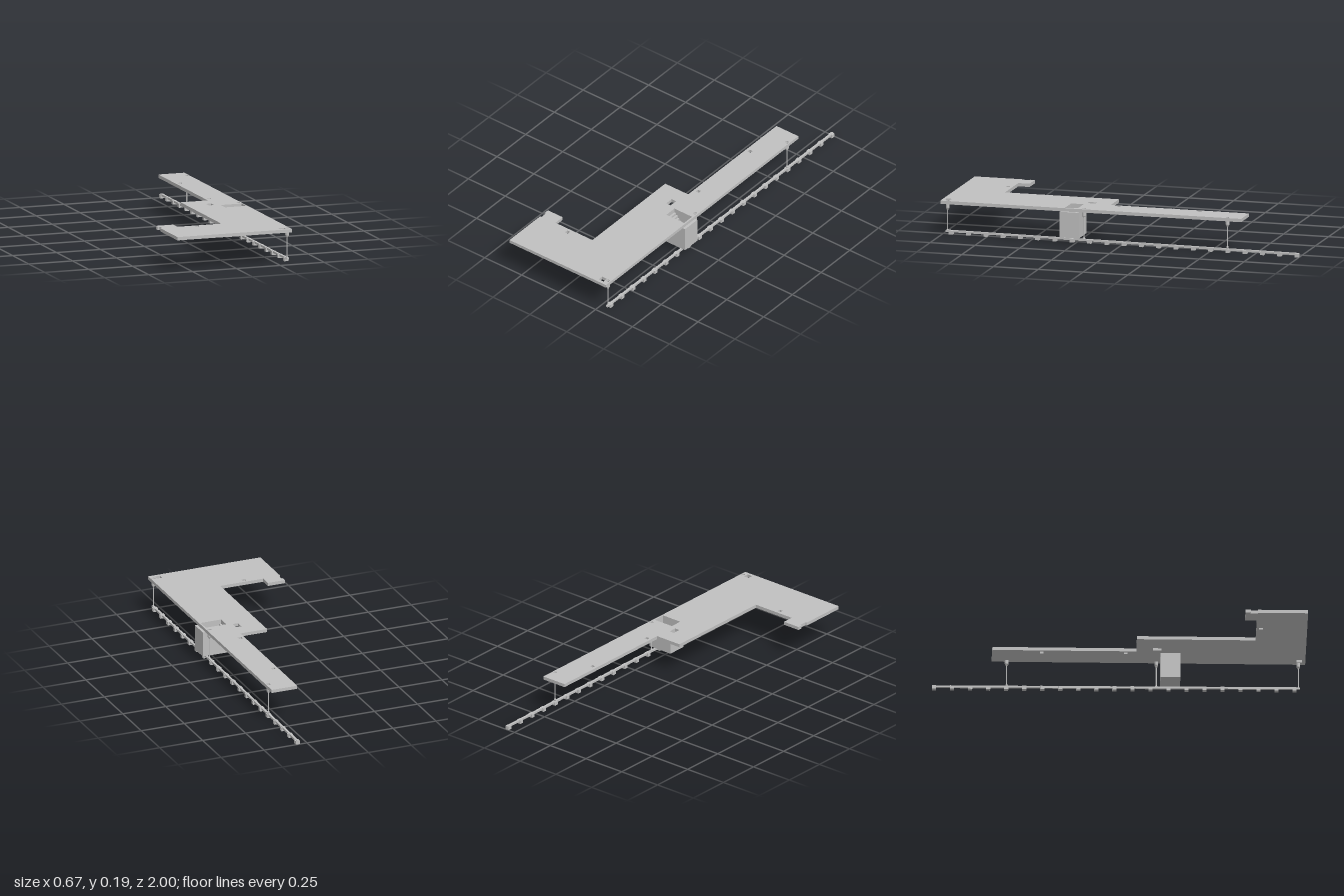
import * as THREE from 'three';

const grey = new THREE.MeshStandardMaterial({ color: 0xc0c0c0 });
grey.name = 'concrete grey';

const RAIL_X = 0.303;
const POSTS_Z = [0.96, 0.2, -0.6];

// Rectangle outline in plan (x, z)
function rect(x0, x1, z0, z1) {
  return [[x0, z0], [x1, z0], [x1, z1], [x0, z1]];
}

// Slab with an outline and holes in plan, hanging down from the height "top"
function slab(name, outline, holes, top, thickness) {
  const points = (list) => list.map(([x, z]) => new THREE.Vector2(x, z));
  const shape = new THREE.Shape(points(outline));
  for (const hole of holes) shape.holes.push(new THREE.Path(points(hole)));
  const geometry = new THREE.ExtrudeGeometry(shape, { depth: thickness, bevelEnabled: false });
  geometry.rotateX(Math.PI / 2);
  const mesh = new THREE.Mesh(geometry, grey);
  mesh.name = name;
  mesh.position.y = top;
  return mesh;
}

function box(name, w, h, d, x, y, z) {
  const mesh = new THREE.Mesh(new THREE.BoxGeometry(w, h, d), grey);
  mesh.name = name;
  mesh.position.set(x, y, z);
  return mesh;
}

// Hole outline around a post
function ring(x, z, r) {
  return Array.from({ length: 12 }, (_, i) => {
    const a = (i / 12) * Math.PI * 2;
    return [x + r * Math.cos(a), z + r * Math.sin(a)];
  });
}

export function createModel() {
  const model = new THREE.Group();
  model.name = 'platform';

  // Stepped deck with service openings
  const outline = [
    [0.17, -0.68], [0.318, -0.68], [0.318, 0.997], [-0.335, 0.997], [-0.335, 0.73],
    [-0.326, 0.73], [-0.326, 0.69], [-0.335, 0.69], [-0.335, 0.662], [-0.235, 0.662],
    [-0.235, 0.725], [0.015, 0.725], [0.015, 0.09], [0.17, 0.09],
  ];
  const holes = [
    rect(0.186, 0.206, -0.425, -0.405),
    rect(0.186, 0.206, 0.025, 0.045),
    rect(0.127, 0.157, 0.178, 0.224),
    rect(-0.143, -0.123, 0.74, 0.76),
    rect(0.256, 0.288, 0.95, 0.98),
    rect(0.19, 0.309, 0.235, 0.305),
    ...POSTS_Z.map((z) => ring(RAIL_X, z, 0.0105)),
  ];
  model.add(slab('deck', outline, holes, 0.193, 0.018));

  // Stairwell below the deck, with a floor and steps
  const well = new THREE.Group();
  well.name = 'stairwell';
  well.add(slab('shaft', rect(0.187, 0.333, 0.22, 0.327), [rect(0.19, 0.309, 0.235, 0.305)], 0.175, 0.14));
  well.add(box('shaftFloor', 0.119, 0.004, 0.07, 0.2495, 0.037, 0.27));
  const steps = 10;
  for (let i = 0; i < steps; i++) {
    const h = 0.013 * (steps - i);
    well.add(box('step', 0.0115, h, 0.07, 0.196 + i * 0.0115, 0.039 + h / 2, 0.27));
  }
  model.add(well);

  // Hanging posts: socket cap, rod and ball foot
  const postProfile = [
    [0, 0.022], [0.005, 0.025], [0.0065, 0.03], [0.005, 0.035], [0.003, 0.038],
    [0.003, 0.142], [0.0055, 0.144], [0.0055, 0.148], [0.009, 0.151], [0.0103, 0.156],
    [0.0103, 0.188], [0.006, 0.188], [0.006, 0.18], [0, 0.18],
  ].map(([r, y]) => new THREE.Vector2(r, y));
  const postGeometry = new THREE.LatheGeometry(postProfile, 12).toNonIndexed();
  postGeometry.computeVertexNormals();
  for (const z of POSTS_Z) {
    const post = new THREE.Mesh(postGeometry, grey);
    post.name = 'post';
    post.position.set(RAIL_X, 0, z);
    model.add(post);
  }

  // Rail sloping gently to the back, with evenly spaced blocks
  const rail = new THREE.Group();
  rail.name = 'rail';
  const slope = (z) => 0.0055 * (z + 0.99);
  const zFront = 0.97;
  const zBack = -1;
  const middle = (zFront + zBack) / 2;
  const bar = box('railBar', 0.012, 0.011, zFront - zBack, RAIL_X, 0.0165 + slope(middle), middle);
  bar.rotation.x = -Math.atan(0.0055);
  rail.add(bar);
  for (let i = 0; i < 21; i++) {
    const z = 0.94 - i * 0.0964;
    rail.add(box('railBlock', 0.024, 0.02, 0.022, RAIL_X, 0.01 + slope(z), z));
  }
  model.add(rail);

  return model;
}
